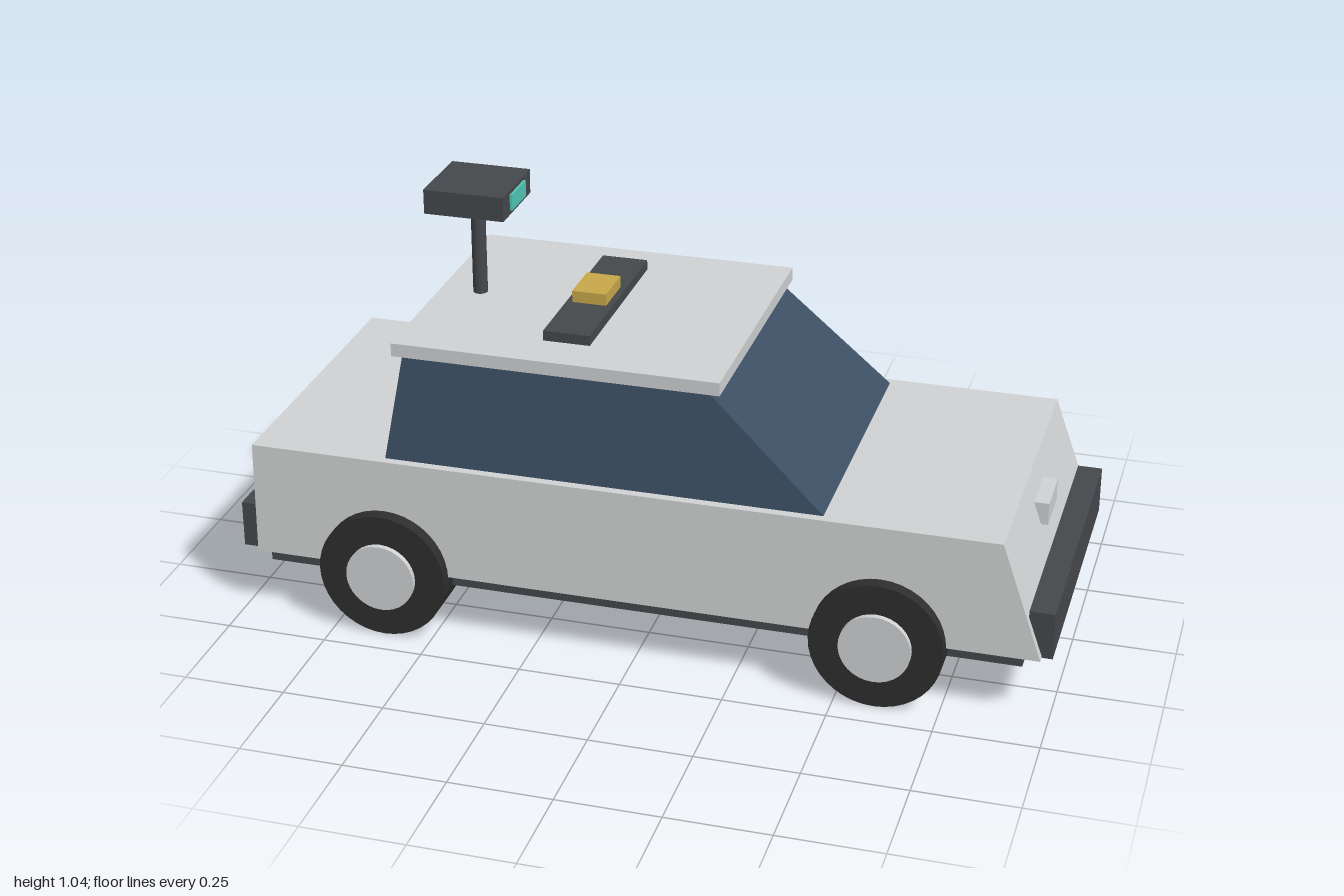
import * as THREE from 'three';

const mat = (name, color) => {
  const m = new THREE.MeshStandardMaterial({ color });
  m.name = name;
  return m;
};

export function createModel() {
  const car = new THREE.Group();
  car.name = 'car';
  const paint = mat('light grey', 0xd0d2d3);
  const glass = mat('blue glass', 0x3c4f64);
  const dark = mat('dark grey trim', 0x45484c);
  const rubber = mat('black rubber', 0x2e2e2e);
  const gold = mat('gold', 0xc8a84b);
  const teal = mat('teal', 0x50c8b4);
  const red = mat('red', 0xc04848);

  const add = (name, geometry, material, parent = car) => {
    const mesh = new THREE.Mesh(geometry, material);
    mesh.name = name;
    parent.add(mesh);
    return mesh;
  };

  // Box from its limits in x and y, symmetric in z
  const box = (name, material, x0, x1, y0, y1, halfZ) =>
    add(name, new THREE.BoxGeometry(x1 - x0, y1 - y0, halfZ * 2), material)
      .position.set((x0 + x1) / 2, (y0 + y1) / 2, 0);

  // Box whose top and bottom rectangles differ: [xMin, xMax, y, halfZ]
  const taperedBox = (name, material, bottom, top) => {
    const g = new THREE.BoxGeometry(1, 1, 1);
    const p = g.attributes.position;
    for (let i = 0; i < p.count; i++) {
      const [x0, x1, y, hz] = p.getY(i) > 0 ? top : bottom;
      p.setXYZ(i, p.getX(i) > 0 ? x1 : x0, y, Math.sign(p.getZ(i)) * hz);
    }
    g.computeVertexNormals();
    add(name, g, material);
  };

  // Body, cabin and roof
  taperedBox('body', paint, [-0.955, 0.975, 0.165, 0.4], [-0.955, 0.875, 0.45, 0.392]);
  taperedBox('cabinGlass', glass, [-0.62, 0.455, 0.449, 0.37], [-0.577, 0.165, 0.715, 0.335]);
  box('roof', paint, -0.6, 0.2, 0.712, 0.745, 0.35);

  // Underside, bumpers and lamps
  box('chassis', dark, -0.935, 0.93, 0.125, 0.17, 0.366);
  box('frontBumper', dark, 0.94, 1, 0.163, 0.28, 0.378);
  box('rearBumper', dark, -1, -0.94, 0.163, 0.28, 0.378);
  box('frontLamp', paint, 0.89, 0.93, 0.34, 0.396, 0.067);
  box('rearLamp', red, -0.974, -0.95, 0.354, 0.408, 0.055);

  // Roof light bar
  box('lightBar', dark, -0.26, -0.145, 0.746, 0.771, 0.238);
  box('beacon', gold, -0.245, -0.16, 0.771, 0.8, 0.059);

  // Sensor on a mast
  add('mast', new THREE.CylinderGeometry(0.018, 0.018, 0.24, 24), dark).position.set(-0.5, 0.86, 0);
  box('sensorHead', dark, -0.6, -0.4, 0.976, 1.037, 0.1);
  box('sensorWindow', teal, -0.402, -0.394, 0.987, 1.027, 0.051);

  // Wheels: tyre and hub on each corner
  for (const [end, x] of [['front', 0.597], ['rear', -0.62]]) {
    for (const [side, s] of [['Right', 1], ['Left', -1]]) {
      const wheel = new THREE.Group();
      wheel.name = `${end}${side}Wheel`;
      wheel.position.set(x, 0.16, s * 0.367);
      wheel.rotation.x = s * Math.PI / 2;
      add('tyre', new THREE.CylinderGeometry(0.16, 0.16, 0.126, 40), rubber, wheel);
      add('hub', new THREE.CylinderGeometry(0.086, 0.086, 0.03, 32), paint, wheel).position.y = 0.062;
      car.add(wheel);
    }
  }
  return car;
}
